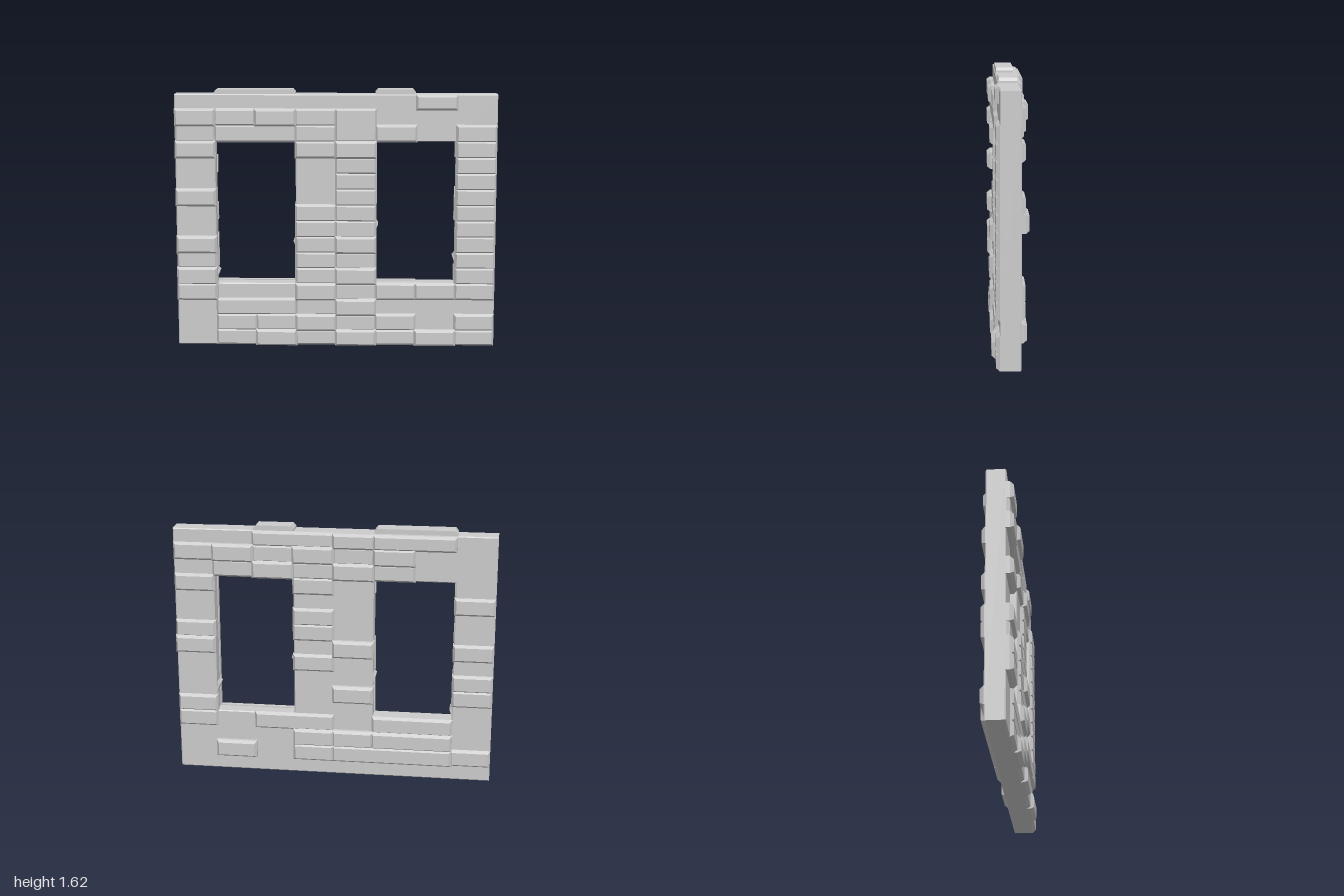
import * as THREE from 'three';

const COL = 0.25, ROW = 0.1, CORE = 0.055, EDGE = 0.006, TOP = 1.592;
const mat = new THREE.MeshStandardMaterial({ color: 0xcccccc, flatShading: true });

// Block with straight walls and a bevelled outer face, standing on z = 0.
function bevelBlock(w, h, depth, bevel, inset) {
  const geo = new THREE.BoxGeometry(w, h, depth, 1, 1, 2);
  const p = geo.attributes.position;
  for (let i = 0; i < p.count; i++) {
    const z = p.getZ(i);
    if (Math.abs(z) < 1e-6) p.setZ(i, depth / 2 - bevel);
    if (z > 1e-6) {
      p.setX(i, p.getX(i) - Math.sign(p.getX(i)) * inset);
      p.setY(i, p.getY(i) - Math.sign(p.getY(i)) * inset);
    }
  }
  geo.translate(0, 0, depth / 2);
  geo.computeVertexNormals();
  return geo;
}

// One side of the wall: side is +1 for the front and -1 for the back.
// Column 0 starts at x = -1, row 0 at the ground; isRaised picks the thicker bricks.
function brickFace(name, side, isRaised) {
  const group = new THREE.Group();
  group.name = name;

  function brick(col, row, width, height = 1) {
    const grow = 0.006, start = 0.03;
    const x0 = Math.max(-1, -1 + col * COL - grow);
    const x1 = Math.min(1, -1 + (col + width) * COL + grow);
    const y0 = Math.max(0, row * ROW - grow);
    const y1 = Math.min(TOP, (row + height) * ROW + grow);
    const depth = (isRaised(col, row) ? 0.104 : 0.083) - start;
    const mesh = new THREE.Mesh(bevelBlock(x1 - x0, y1 - y0, depth, 0.022, 0.015), mat);
    mesh.name = 'brick';
    mesh.position.set((x0 + x1) / 2, (y0 + y1) / 2, side * start);
    if (side < 0) mesh.rotation.y = Math.PI;
    group.add(mesh);
  }

  return {
    group,
    brick,
    // bricks side by side in one row, each with its width in columns
    course(row, col, ...widths) {
      for (const width of widths) {
        brick(col, row, width);
        col += width;
      }
    },
    // single bricks stacked in one column, leaving some rows bare
    pillar(col, from, to, ...bare) {
      for (let row = from; row <= to; row++) if (!bare.includes(row)) brick(col, row, 1);
    },
  };
}

function frontBricks() {
  const flushRows = [5, 7, 8, 10, 13, 15], flushCols = [1, 5, 7];
  const isRaised = (col, row) => !flushRows.includes(row) && !flushCols.includes(col)
    && (col === 0 || (row + col) % 2 === 0);
  const { group, brick, course, pillar } = brickFace('frontBricks', 1, isRaised);
  pillar(0, 3, 14, 7, 8, 10, 11);
  pillar(3, 0, 14, 9, 10, 11);
  pillar(4, 0, 12);
  pillar(7, 0, 13, 2);
  // above the windows
  brick(4, 13, 1, 2);
  course(15, 6, 1);
  course(14, 1, 1, 1);
  course(13, 1, 2);
  course(13, 5, 1);
  // below the windows
  course(3, 5, 1, 1);
  course(2, 1, 2);
  course(1, 1, 1, 1);
  course(1, 5, 1);
  course(0, 1, 1, 1);
  course(0, 5, 1, 1);
  return group;
}

function backBricks() {
  const raisedRows = [1, 2, 5, 8, 13, 14, 15];
  const isRaised = (col, row) => col > 0 && raisedRows.includes(row) && (row < 13 || (row + col) % 2 === 0);
  const { group, course, pillar } = brickFace('backBricks', -1, isRaised);
  pillar(0, 1, 11, 2, 3, 4, 7, 9, 10);
  pillar(3, 5, 8, 6, 7);
  pillar(4, 7, 12, 8, 11);
  pillar(7, 3, 12, 5, 6, 7, 10, 11);
  // above the windows
  course(15, 1, 2, 1, 2);
  course(14, 2, 1, 1, 1, 1, 1, 1);
  course(13, 2, 1, 1, 1, 1, 1);
  // below the windows
  course(3, 1, 2);
  course(3, 4, 2);
  course(2, 1, 2, 1, 1);
  course(1, 1, 3, 1);
  course(1, 6, 1);
  return group;
}

function polygon(points, Type = THREE.Shape) {
  return new Type(points.map(([x, y]) => new THREE.Vector2(x, y)));
}

// Shape extruded along z and centred, with an optional small bevel inside its outline.
function prism(shape, depth, name, bevel = 0) {
  const geo = new THREE.ExtrudeGeometry(shape, {
    depth, bevelEnabled: bevel > 0, bevelThickness: bevel, bevelSize: bevel, bevelOffset: -bevel, bevelSegments: 1,
  });
  geo.translate(0, 0, -depth / 2);
  const mesh = new THREE.Mesh(geo, mat);
  mesh.name = name;
  return mesh;
}

export function createModel() {
  const model = new THREE.Group();
  model.name = 'brickWall';

  // Solid core with two window openings
  const wall = polygon([[-1, 0], [1, 0], [1, TOP], [-1, TOP]]);
  for (const x of [-0.75, 0.25]) {
    wall.holes.push(polygon([[x, 0.4], [x, 1.3], [x + 0.5, 1.3], [x + 0.5, 0.4]], THREE.Path));
  }
  model.add(prism(wall, CORE * 2, 'wallCore', EDGE));

  model.add(frontBricks(), backBricks());

  // Raised capping bricks along the top, as thick as the core
  for (const [x0, x1] of [[-0.755, -0.25], [0.245, 0.495]]) {
    const outline = [[x0, 1.58], [x1, 1.58], [x1, 1.604], [x1 - 0.016, 1.622], [x0 + 0.016, 1.622], [x0, 1.604]];
    model.add(prism(polygon(outline), CORE * 2, 'capBrick'));
  }

  // Chipped stone wedges on the window jambs
  for (const [x, y, dir] of [[-0.25, 0.6, -1], [0.25, 0.71, 1], [0.75, 0.5, -1], [-0.75, 0.4, 1]]) {
    const inner = x - dir * 0.01;
    const chip = [[inner, y], [x + dir * 0.016, y + 0.07], [inner, y + 0.1]];
    if (dir < 0) chip.reverse();
    model.add(prism(polygon(chip), 0.1, 'jambChip'));
  }
  return model;
}
